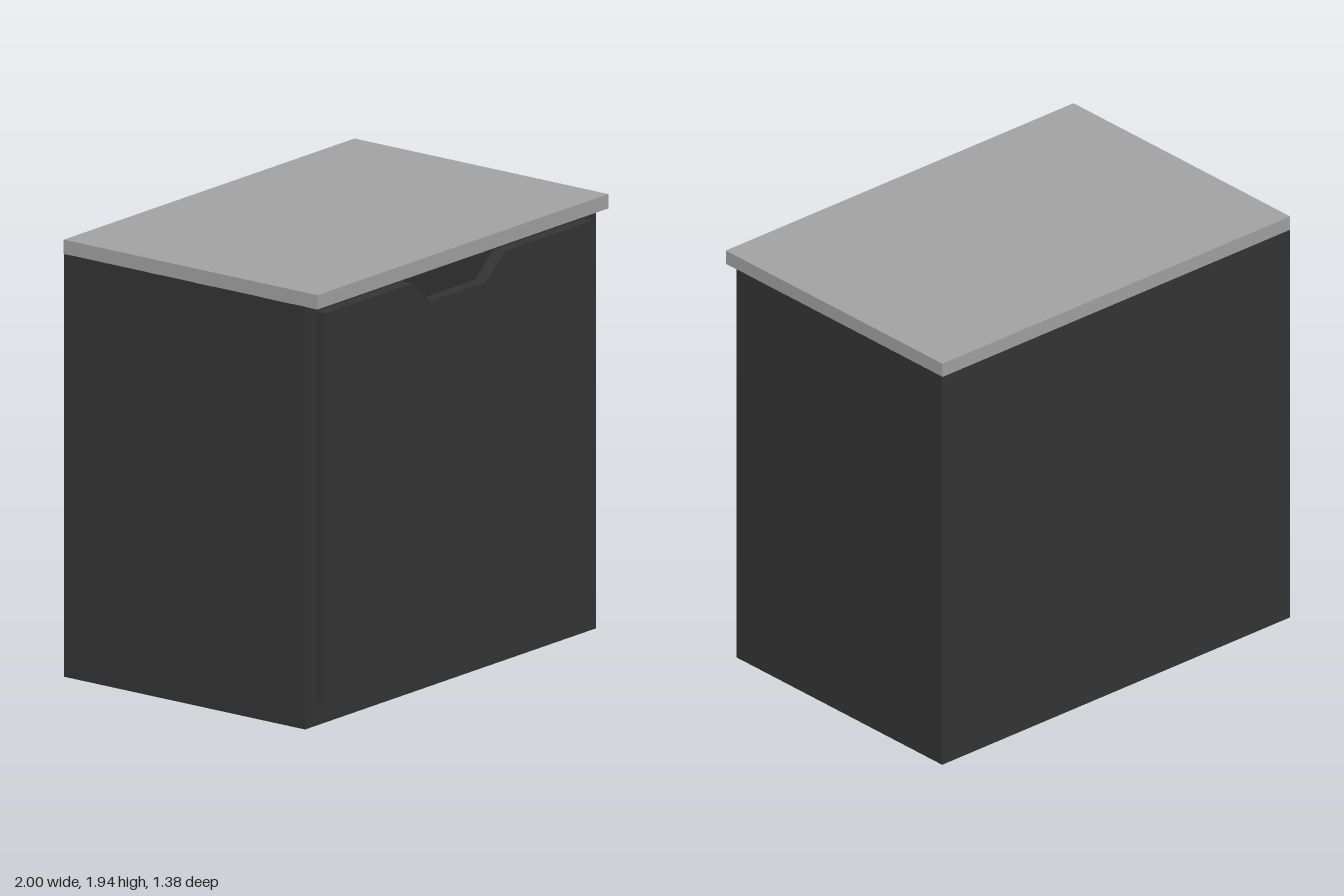
import * as THREE from 'three';

// Closed outline from a list of corner points
const outline = (Type, pts) => new Type(pts.map(([x, y]) => new THREE.Vector2(x, y)));
const rect = (w, y0, y1) => [[-w, y0], [w, y0], [w, y1], [-w, y1]];

export function createModel() {
  const cabinet = new THREE.Group();
  cabinet.name = 'cabinet';

  const dark = new THREE.MeshStandardMaterial({ color: 0x343434 });
  dark.name = 'charcoal';
  const grey = new THREE.MeshStandardMaterial({ color: 0xa2a2a2 });
  grey.name = 'worktop grey';

  const add = (name, geometry, material, x, y, z) => {
    const mesh = new THREE.Mesh(geometry, material);
    mesh.name = name;
    mesh.position.set(x, y, z);
    cabinet.add(mesh);
  };
  const slab = (shape, depth) =>
    new THREE.ExtrudeGeometry(shape, { depth, bevelEnabled: false });

  // Hollow carcass: sides, floor and ceiling as one open frame
  const frame = outline(THREE.Shape, rect(1, 0, 1.88));
  frame.holes.push(outline(THREE.Path, rect(0.92, 0.1, 1.842)));
  add('carcass', slab(frame, 1.225), dark, 0, 0, -0.6);

  // Panel closing the back
  add('backPanel', new THREE.BoxGeometry(2, 1.88, 0.09), dark, 0, 0.94, -0.645);

  // Door with a tapered finger notch in its top edge
  const door = outline(THREE.Shape, [
    [-0.917, 0.104], [0.917, 0.104], [0.917, 1.838], [0.32, 1.838],
    [0.19, 1.73], [-0.19, 1.73], [-0.32, 1.838], [-0.917, 1.838],
  ]);
  add('door', slab(door, 0.06), dark, 0, 0, 0.608);

  // Worktop overhanging the front
  add('worktop', new THREE.BoxGeometry(2, 0.064, 1.384), grey, 0, 1.911, 0);

  return cabinet;
}
